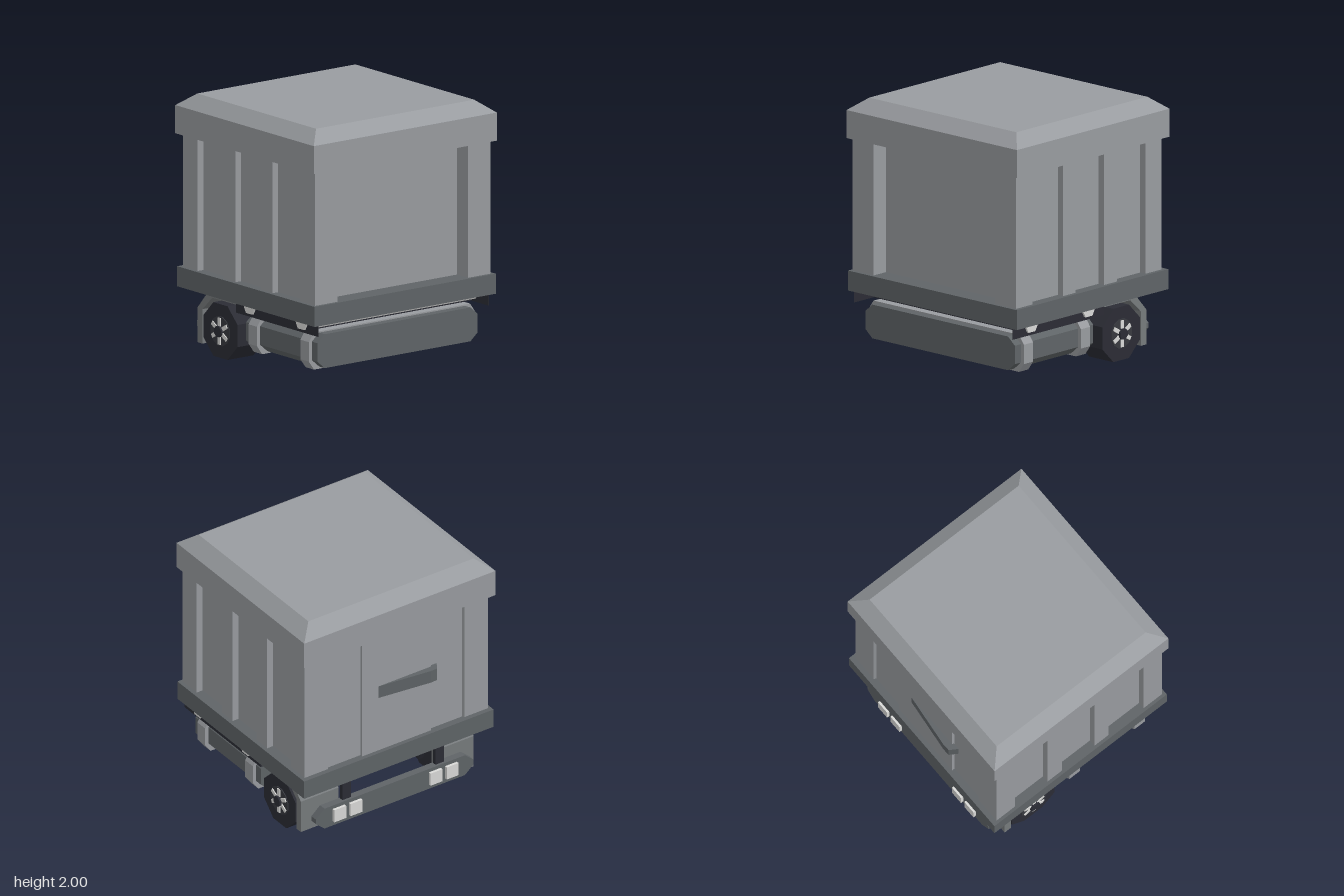
import * as THREE from 'three';

const mat = (name, color) => Object.assign(new THREE.MeshStandardMaterial({ color }), { name });

export function createModel() {
  const root = new THREE.Group();
  root.name = 'cargoTrailer';
  const M = {
    body: mat('bodyGrey', 0x999ca0),
    base: mat('darkGrey', 0x5f6467),
    guard: mat('guardGrey', 0x777b7d),
    light: mat('lampGrey', 0xdadad8),
    dark: mat('chassisBlack', 0x2b2c35),
    hub: mat('hubGrey', 0x383a40),
  };
  const add = (name, geo, m, parent = root) => {
    const mesh = new THREE.Mesh(geo, m);
    mesh.name = name;
    parent.add(mesh);
    return mesh;
  };
  // Box from min and max corners
  const boxGeo = (a, b) => new THREE.BoxGeometry(b[0] - a[0], b[1] - a[1], b[2] - a[2])
    .translate((a[0] + b[0]) / 2, (a[1] + b[1]) / 2, (a[2] + b[2]) / 2);
  const box = (name, a, b, m) => add(name, boxGeo(a, b), m);
  const extrude = (pts, depth) => new THREE.ExtrudeGeometry(
    new THREE.Shape(pts.map(p => new THREE.Vector2(p[0], p[1]))),
    { depth, bevelEnabled: false });
  // Plan outline (x, z) raised from y0 to y1
  const plan = (pts, y0, y1) => extrude(pts.map(([x, z]) => [x, -z]), y1 - y0)
    .rotateX(-Math.PI / 2).translate(0, y0, 0);
  // Side outline (z, y) spanning x0 to x1
  const side = (pts, x0, x1) => extrude(pts, x1 - x0).rotateY(-Math.PI / 2).translate(x1, 0, 0);
  // Front outline (x, y) spanning z0 to z1
  const front = (pts, z0, z1) => extrude(pts, z1 - z0).translate(0, 0, z0);
  const octagon = (hx, y0, y1, cx, cy) => [
    [-hx + cx, y0], [hx - cx, y0], [hx, y0 + cy], [hx, y1 - cy],
    [hx - cx, y1], [-hx + cx, y1], [-hx, y1 - cy], [-hx, y0 + cy]];

  // Container walls: notched plan outline gives posts and recessed panels
  const out = 0.848, inn = 0.793;
  const half = [
    [0.63, 0.69], [0.63, 0.825], [out, 0.825], [out, 0.64], [inn, 0.64], [inn, 0.3], [out, 0.3],
    [out, 0.16], [inn, 0.16], [inn, -0.155], [out, -0.155], [out, -0.3], [inn, -0.3],
    [inn, -0.62], [out, -0.62], [out, -0.8], [0.63, -0.8], [0.62, -0.782],
    [0.32, -0.782], [0.32, -0.805]];
  const mirrored = half.map(([x, z]) => [-x, z]).reverse();
  add('containerWalls', plan([...half, ...mirrored], 0.64, 1.78), M.body);

  // Lid: a shell open below, with a bevelled top
  const openBelow = g => {
    const index = Array.from(g.index.array);
    index.splice(18, 6);
    g.setIndex(index);
    return g;
  };
  add('lidRim', openBelow(boxGeo([-0.885, 1.685, -0.848], [0.885, 1.905, 0.855])), M.body);
  const bevel = boxGeo([-0.885, 1.905, -0.848], [0.885, 2, 0.855]);
  const p = bevel.attributes.position;
  for (let i = 0; i < p.count; i++) {
    if (p.getY(i) > 1.95) {
      p.setX(i, Math.sign(p.getX(i)) * 0.765);
      p.setZ(i, Math.sign(p.getZ(i)) * 0.73);
    }
  }
  const lid = bevel.toNonIndexed();
  lid.computeVertexNormals();
  add('lidBevel', lid, M.body);

  // Door handle on the back
  add('doorHandle', plan([[0.21, -0.8], [-0.28, -0.857], [-0.34, -0.855], [-0.38, -0.79]], 1.12, 1.225), M.base);

  // Floor sill and chassis
  box('floorSill', [-0.873, 0.488, -0.84], [0.88, 0.645, 0.85], M.base);
  box('chassisPlate', [-0.82, 0.4, -0.18], [0.82, 0.425, 0.62], M.dark);
  box('rearPlate', [-0.8, 0.465, -0.72], [0.8, 0.488, -0.1], M.dark);
  box('axle', [-0.6, 0.18, -0.43], [0.6, 0.24, -0.37], M.dark);

  // Wide tank, its straps and the cross beams above them
  add('tank', front(octagon(0.775, 0.125, 0.39, 0.07, 0.06), -0.115, 0.76), M.base);
  for (const z of [0.64, 0.003]) {
    add('tankStrap', front(octagon(0.805, 0.108, 0.4, 0.05, 0.07), z - 0.052, z + 0.052), M.body);
    add('crossBeam', side([[z - 0.072, 0.49], [z - 0.038, 0.427], [z + 0.038, 0.427], [z + 0.072, 0.49]], -0.842, 0.842), M.light);
  }
  box('strapPlate', [-0.62, 0.101, -0.045], [0.62, 0.109, 0.05], M.light);

  // Wheels, mudguards and side frames
  const cyl = (r, len, n, x) => {
    const g = new THREE.CylinderGeometry(r, r, len, n).rotateY(Math.PI / n).rotateZ(Math.PI / 2).toNonIndexed();
    g.computeVertexNormals();
    return g.translate(x, 0, 0);
  };
  const frame = [[-0.72, 0.488], [-0.62, 0.36], [-0.55, 0.22], [-0.12, 0.22], [-0.12, 0.488]];
  const guard = [[-0.55, 0.49], [-0.68, 0.345], [-0.68, 0.07], [-0.62, 0.07],
    [-0.62, 0.34], [-0.5, 0.452], [-0.18, 0.452], [-0.18, 0.49]];
  for (const s of [-1, 1]) {
    const wheel = new THREE.Group();
    wheel.name = s > 0 ? 'leftWheel' : 'rightWheel';
    wheel.position.set(0, 0.21, -0.4);
    root.add(wheel);
    add('tyre', cyl(0.227, 0.25, 8, s * 0.675), M.dark, wheel);
    add('rim', cyl(0.118, 0.01, 12, s * 0.802), M.hub, wheel);
    for (let i = 0; i < 6; i++) {
      const spoke = new THREE.BoxGeometry(0.012, 0.07, 0.032);
      spoke.translate(s * 0.809, 0.07, 0).rotateX(i * Math.PI / 3);
      add('spoke', spoke, M.light, wheel);
    }
    add('hubCap', cyl(0.045, 0.03, 8, s * 0.815), M.dark, wheel);

    add('mudguard', side(guard, s > 0 ? 0.45 : -0.8, s > 0 ? 0.8 : -0.45), M.guard);
    add('rearFrame', side(frame, s * 0.4 - 0.02, s * 0.4 + 0.02), M.dark);
    box('chassisSide', [s * 0.824 - 0.001, 0.4, -0.18], [s * 0.824 + 0.001, 0.49, 0.835], M.dark);

    // Bumper hanger and tail lamps
    box('bumperHanger', [s * 0.43 - 0.04, 0.26, -0.76], [s * 0.43 + 0.04, 0.49, -0.73], M.dark);
    for (const x of [0.37, 0.52]) {
      box('tailLamp', [s * x - 0.055, 0.14, -0.803], [s * x + 0.055, 0.25, -0.775], M.light);
    }
  }

  // Rear bumper with pointed ends
  add('rearBumper', front([[-0.65, 0.1], [0.65, 0.1], [0.73, 0.17], [0.73, 0.21], [0.65, 0.28],
    [-0.65, 0.28], [-0.73, 0.21], [-0.73, 0.17]], -0.78, -0.72), M.base);

  return root;
}
